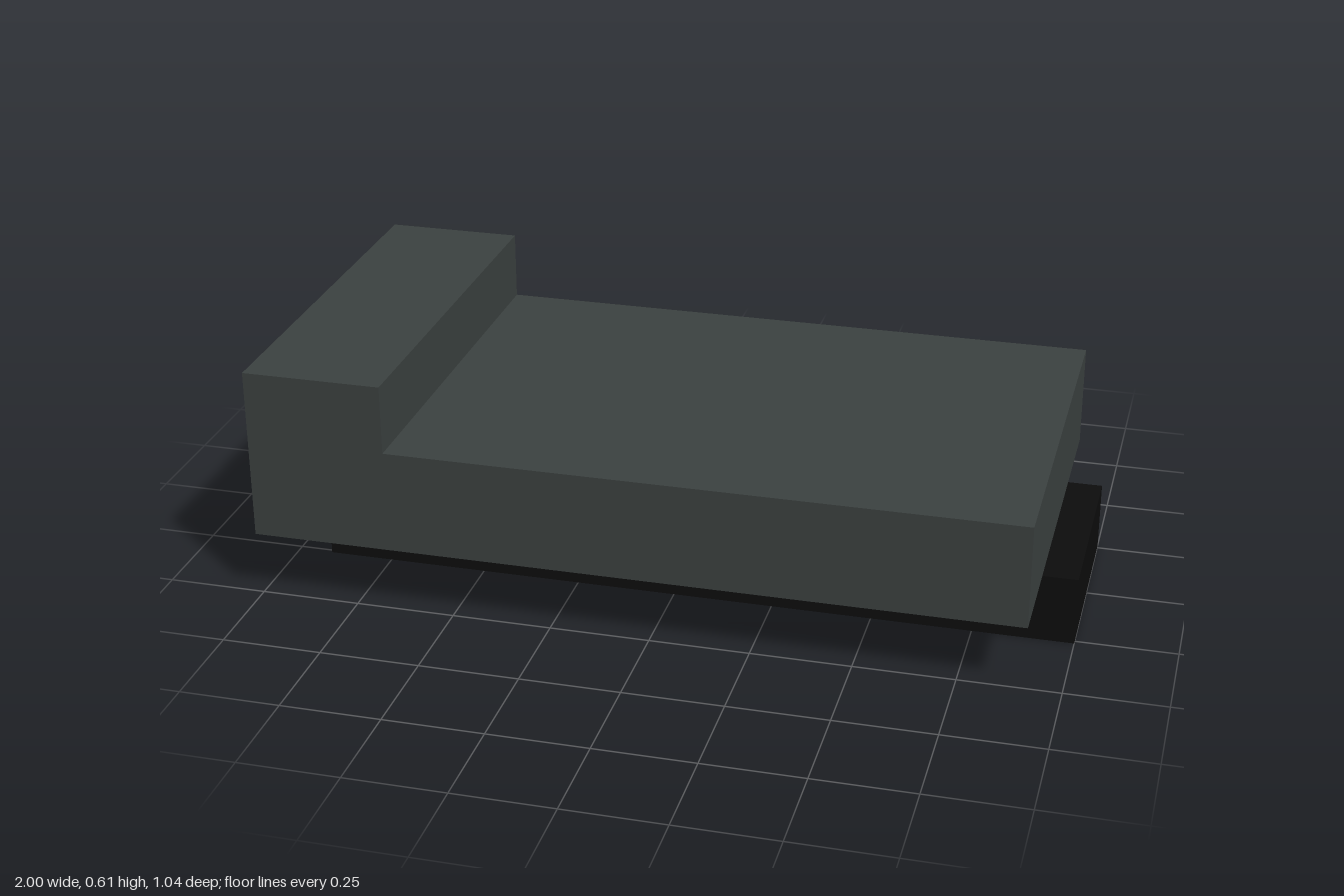
import * as THREE from 'three';

export function createModel() {
  const group = new THREE.Group();
  const bodyGrey = new THREE.MeshStandardMaterial({ color: 0x3c4241 });
  bodyGrey.name = 'dark slate grey';
  const baseBlack = new THREE.MeshStandardMaterial({ color: 0x0d0d0d });
  baseBlack.name = 'near black';

  // Everything sits on a small module: 23 units = 1
  const u = 1 / 23;

  // Slab with a raised block at one end, extruded along z
  const profile = new THREE.Shape(
    [[-23, 4], [21, 4], [21, 10], [-15, 10], [-15, 14], [-23, 14]]
      .map(([x, y]) => new THREE.Vector2(x * u, y * u))
  );
  const bodyGeometry = new THREE.ExtrudeGeometry(profile, { depth: 24 * u, bevelEnabled: false });
  bodyGeometry.translate(0, 0, -12 * u);
  const body = new THREE.Mesh(bodyGeometry, bodyGrey);
  body.name = 'steppedBody';
  group.add(body);

  // Narrow rail underneath, shifted towards the low end
  const rail = new THREE.Mesh(new THREE.BoxGeometry(44 * u, 4 * u, 12 * u), baseBlack);
  rail.position.set(u, 2 * u, 0);
  rail.name = 'baseRail';
  group.add(rail);

  return group;
}
